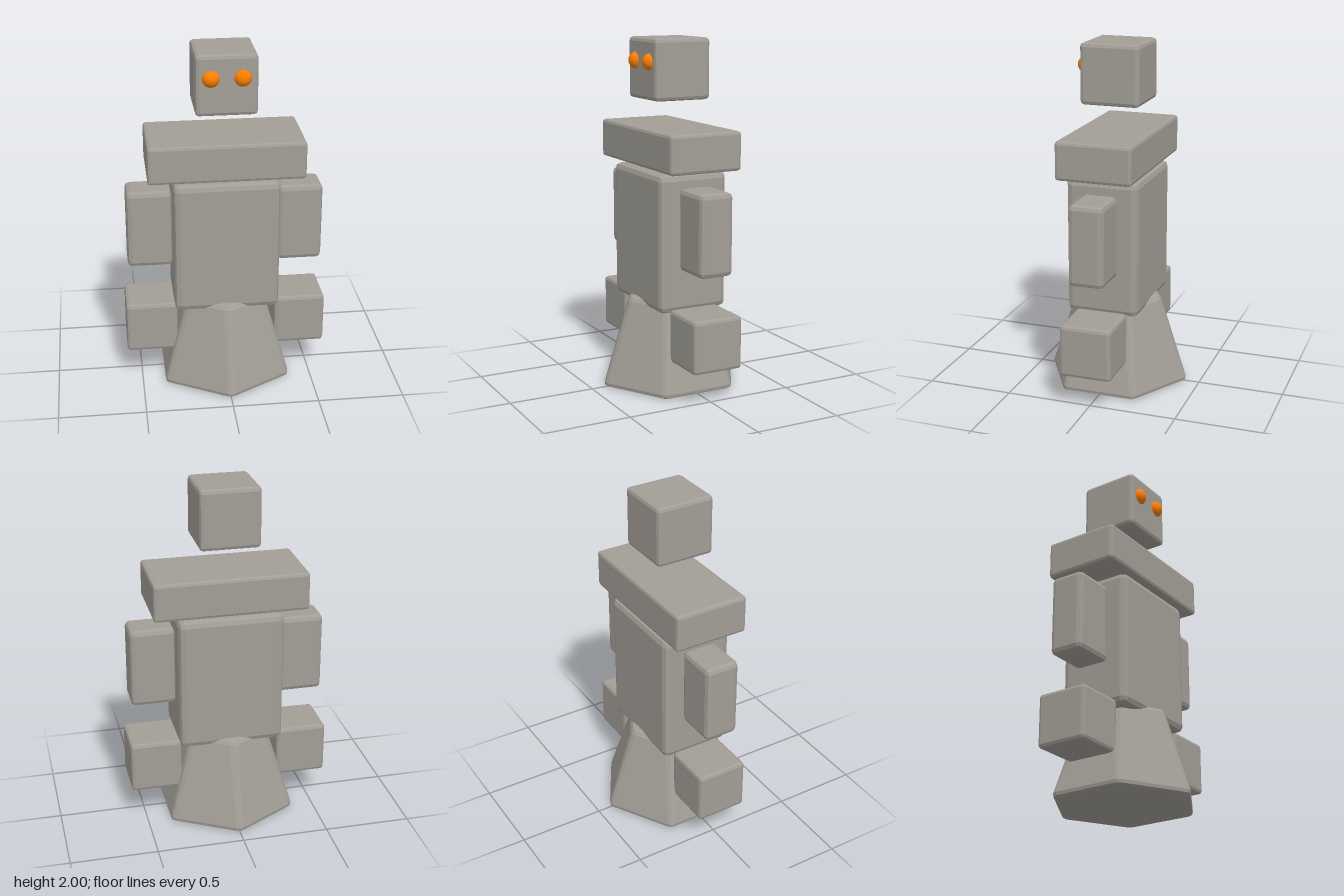
import * as THREE from 'three';
import { RoundedBoxGeometry } from 'three/addons/geometries/RoundedBoxGeometry.js';

const stone = new THREE.MeshStandardMaterial({ color: 0xa29e96, flatShading: true });
const orange = new THREE.MeshStandardMaterial({ color: 0xff8000 });

// Block with faceted, bevelled edges
function bevelledBlock(name, [w, h, d], [x, y, z], radius) {
  const mesh = new THREE.Mesh(new RoundedBoxGeometry(w, h, d, 1, radius), stone);
  mesh.name = name;
  mesh.position.set(x, y, z);
  return mesh;
}

// Tapered six-sided block with bevelled corners, corners pointing to front and back.
// Each end gives the level y and radius R of its inner hexagon, and its bevel r;
// cornerRadius widens the bevel of the six upright edges.
function bevelledHexFrustum(bottom, top, cornerRadius) {
  const steps = 2, sides = 6, perRing = sides * (steps + 1);
  const tilt = Math.atan2((bottom.R - top.R) * Math.cos(Math.PI / 6), top.y - bottom.y);
  const rings = [];
  for (let i = 0; i <= steps; i++) {
    rings.push([bottom, THREE.MathUtils.lerp(-Math.PI / 2, tilt, i / steps)]);
  }
  for (let i = 0; i <= steps; i++) {
    rings.push([top, THREE.MathUtils.lerp(tilt, Math.PI / 2, i / steps)]);
  }

  const positions = [], index = [];
  for (const [end, phi] of rings) {
    const arc = cornerRadius + end.r * Math.cos(phi);
    for (let s = 0; s < sides; s++) {
      const corner = s * Math.PI / 3;
      for (let k = 0; k <= steps; k++) {
        const a = corner + (k / steps - 0.5) * Math.PI / 3;
        positions.push(
          Math.sin(corner) * end.R + Math.sin(a) * arc,
          end.y + Math.sin(phi) * end.r,
          Math.cos(corner) * end.R + Math.cos(a) * arc);
      }
    }
  }

  // Walls between neighbouring rings
  for (let j = 0; j < rings.length - 1; j++) {
    for (let i = 0; i < perRing; i++) {
      const a = j * perRing + i, b = j * perRing + (i + 1) % perRing;
      index.push(a, b, b + perRing, a, b + perRing, a + perRing);
    }
  }

  // Flat caps
  const low = positions.length / 3, high = low + 1;
  positions.push(0, bottom.y - bottom.r, 0, 0, top.y + top.r, 0);
  const last = (rings.length - 1) * perRing;
  for (let i = 0; i < perRing; i++) {
    const next = (i + 1) % perRing;
    index.push(low, next, i, high, last + i, last + next);
  }

  const indexed = new THREE.BufferGeometry();
  indexed.setAttribute('position', new THREE.Float32BufferAttribute(positions, 3));
  indexed.setIndex(index);
  const geometry = indexed.toNonIndexed();
  geometry.computeVertexNormals();
  return geometry;
}

export function createModel() {
  const model = new THREE.Group();
  model.name = 'robot';

  // Flared base
  const base = new THREE.Mesh(
    bevelledHexFrustum({ y: 0.02, R: 0.378, r: 0.02 }, { y: 0.483, R: 0.205, r: 0.038 }, 0.02),
    stone);
  base.name = 'base';
  model.add(base);

  // Body, shoulders and floating head
  model.add(
    bevelledBlock('torso', [0.605, 0.785, 0.42], [0, 0.87, 0], 0.035),
    bevelledBlock('shoulders', [0.887, 0.22, 0.44], [0, 1.393, 0], 0.018),
    bevelledBlock('head', [0.345, 0.345, 0.345], [0, 1.8275, 0], 0.022));

  // Mirrored arms, feet and eyes
  for (const [side, s] of [['left', 1], ['right', -1]]) {
    model.add(
      bevelledBlock(side + 'Arm', [0.26, 0.465, 0.203], [s * 0.434, 0.958, 0], 0.028),
      bevelledBlock(side + 'Foot', [0.3, 0.303, 0.3], [s * 0.435, 0.348, 0], 0.02));

    const eye = new THREE.Mesh(new THREE.SphereGeometry(0.05, 24, 16), orange);
    eye.name = side + 'Eye';
    eye.position.set(s * 0.087, 1.87, 0.158);
    model.add(eye);
  }
  return model;
}
